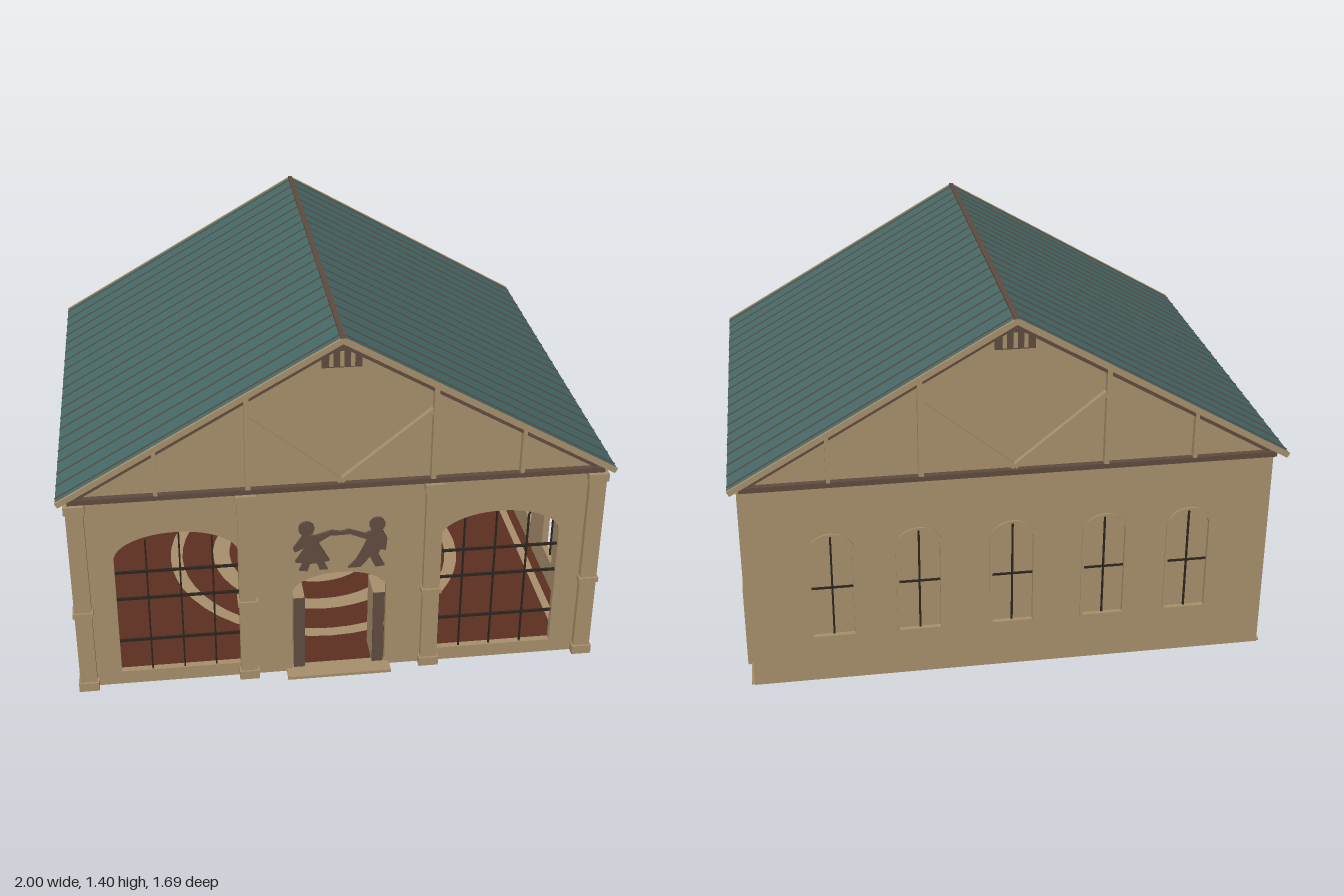
import * as THREE from 'three';

const mat = (name, color) => new THREE.MeshStandardMaterial({ name, color });

export function createModel() {
  const root = new THREE.Group();
  root.name = 'hall';
  const tan = mat('tan wall', 0xa8906c);
  const teal = mat('teal roof', 0x466a69);
  const brown = mat('brown timber', 0x5f4c40);
  const dark = mat('dark bars', 0x2c2520);
  const red = mat('red brown floor', 0x5c2f20);

  const add = (name, geo, material, x = 0, y = 0, z = 0, parent = root) => {
    const m = new THREE.Mesh(geo, material);
    m.name = name;
    m.position.set(x, y, z);
    parent.add(m);
    return m;
  };
  const box = (name, material, w, h, d, x, y, z, parent) =>
    add(name, new THREE.BoxGeometry(w, h, d), material, x, y, z, parent);
  // straight timber between two points of a vertical plane
  const beam = (name, material, x1, y1, x2, y2, width, z, depth, parent) => {
    const m = box(name, material, Math.hypot(x2 - x1, y2 - y1), width, depth, (x1 + x2) / 2, (y1 + y2) / 2, z, parent);
    m.rotation.z = Math.atan2(y2 - y1, x2 - x1);
    return m;
  };
  const poly = (pts) => new THREE.Shape(pts.map((p) => new THREE.Vector2(p[0], p[1])));
  // arched opening: centre, half width, sill, spring line, rise
  const arch = (cx, r, y0, spring, rise, Type = THREE.Path) => {
    const p = new Type();
    p.moveTo(cx - r, y0);
    p.lineTo(cx + r, y0);
    p.lineTo(cx + r, spring);
    p.absellipse(cx, spring, r, rise, 0, Math.PI, false);
    p.lineTo(cx - r, y0);
    return p;
  };
  const extrude = (shape, depth) => new THREE.ExtrudeGeometry(shape, { depth, bevelEnabled: false, curveSegments: 14 });

  const gable = [[-0.955, 0], [0.955, 0], [0.955, 0.822], [0, 1.378], [-0.955, 0.822]];

  // front wall with two wide windows and a doorway
  const front = poly(gable);
  front.holes.push(arch(-0.592, 0.223, 0.055, 0.55, 0.105), arch(0.592, 0.223, 0.055, 0.55, 0.105),
    arch(0, 0.175, 0.012, 0.355, 0.08));
  add('frontWall', extrude(front, 0.025), tan, 0, 0, 0.765);

  // back wall with five glazed-in arches
  const backXs = [-0.655, -0.34, 0, 0.34, 0.655];
  const back = poly(gable);
  backXs.forEach((x) => back.holes.push(arch(x, 0.075, 0.19, 0.535, 0.065)));
  add('backWall', extrude(back, 0.025), tan, 0, 0, -0.805);
  backXs.forEach((x) => {
    const frame = arch(x, 0.085, 0.18, 0.535, 0.075, THREE.Shape);
    frame.holes.push(arch(x, 0.075, 0.19, 0.535, 0.065));
    add('backWindowFrame', extrude(frame, 0.009), tan, 0, 0, -0.812);
    add('backWindowPane', extrude(arch(x, 0.078, 0.185, 0.535, 0.067, THREE.Shape), 0.006), tan, 0, 0, -0.794);
    box('backWindowMullion', dark, 0.007, 0.41, 0.006, x, 0.395, -0.797);
    box('backWindowRail', dark, 0.15, 0.007, 0.006, x, 0.385, -0.797);
  });

  // side walls, open arched windows and pilasters in front of them
  const sideZs = [-0.64, -0.32, 0, 0.32, 0.64];
  const side = poly([[-0.79, 0], [0.79, 0], [0.79, 0.822], [-0.79, 0.822]]);
  sideZs.forEach((z) => side.holes.push(arch(z, 0.072, 0.12, 0.52, 0.065)));
  const sideGeo = extrude(side, 0.025);
  for (const s of [-1, 1]) {
    const wall = add('sideWall', sideGeo, tan, s * 0.93, 0, -0.005);
    wall.rotation.y = s * Math.PI / 2;
    sideZs.forEach((z) => {
      box('sidePilaster', tan, 0.022, 0.735, 0.05, s * 0.964, 0.3675, z - 0.005);
      box('pilasterFoot', tan, 0.028, 0.33, 0.049, s * 0.964, 0.166, z - 0.005);
      box('sideWindowRail', dark, 0.006, 0.006, 0.145, s * 0.945, 0.37, z - 0.005);
      box('sideWindowMullion', dark, 0.006, 0.46, 0.008, s * 0.945, 0.35, z - 0.005);
    });
    box('eaveTrim', brown, 0.02, 0.014, 1.6, s * 0.962, 0.812, -0.005);
  }

  // front columns with base, band and capital
  for (const x of [-0.938, -0.34, 0.34, 0.938]) {
    box('columnShaft', tan, 0.062, 0.8, 0.045, x, 0.4, 0.792);
    for (const [y, h] of [[0.018, 0.036], [0.34, 0.02], [0.785, 0.03]])
      box('columnMoulding', tan, 0.074, h, 0.06, x, y, 0.792);
  }

  // front window bars
  for (const s of [-1, 1]) {
    for (const y of [0.19, 0.375, 0.49]) box('windowRail', dark, 0.445, 0.009, 0.008, s * 0.592, y, 0.78);
    for (const x of [0.462, 0.58, 0.7]) box('windowMullion', dark, 0.006, x === 0.58 ? 0.598 : 0.57, 0.008, s * x, x === 0.58 ? 0.354 : 0.34, 0.78);
    // door leaf swung inwards
    box('doorLeaf', tan, 0.042, 0.313, 0.12, s * 0.149, 0.168, 0.72);
    box('doorEdge', brown, 0.042, 0.313, 0.006, s * 0.149, 0.168, 0.783);
  }
  box('doorStep', tan, 0.39, 0.012, 0.085, -0.003, 0.006, 0.8025);

  // floor with pale rings and border
  box('floorSlab', tan, 1.93, 0.008, 1.59, 0, 0.004, -0.005);
  box('floor', red, 1.86, 0.004, 1.54, 0, 0.01, -0.005);
  for (const [a, b] of [[0.17, 0.24], [0.36, 0.43], [0.56, 0.61]]) {
    const ring = add('floorRing', new THREE.RingGeometry(a, b, 48), tan, 0, 0.0135, 0);
    ring.rotation.x = -Math.PI / 2;
  }
  for (const s of [-1, 1]) box('floorBorder', tan, 0.03, 0.003, 1.5, s * 0.88, 0.0125, -0.005);

  // roof slopes with standing seams and rake boards
  const pitch = Math.atan(0.575), len = 0.998 / Math.cos(pitch);
  for (const s of [-1, 1]) {
    const slope = new THREE.Group();
    slope.name = 'roofSlope';
    slope.position.set(s * 0.497, 1.102, -0.01);
    slope.rotation.z = -s * pitch;
    root.add(slope);
    box('roofPanel', [tan, tan, teal, tan, tan, tan], len, 0.014, 1.66, 0, 0, 0, slope);
    for (let i = 0; i < 20; i++) box('roofSeam', brown, len, 0.004, 0.005, 0, 0.008, 0.798 - i * 0.084, slope);
    for (const e of [-1, 1]) box('rakeBoard', tan, len, 0.02, 0.01, 0, -0.001, e * 0.832, slope);
  }
  box('ridgeCap', brown, 0.018, 0.01, 1.67, 0, 1.393, -0.01);

  // gable trusses and louvred vents, front and back
  for (const f of [1, -1]) {
    const truss = new THREE.Group();
    truss.name = f > 0 ? 'frontTruss' : 'backTruss';
    truss.position.z = f > 0 ? 0.79 : -0.805;
    truss.rotation.y = f > 0 ? 0 : Math.PI;
    root.add(truss);
    box('bottomChord', brown, 1.92, 0.02, 0.024, 0, 0.813, 0.01, truss);
    for (const s of [-1, 1]) {
      beam('rafter', brown, s * 0.93, 0.833, 0, 1.368, 0.022, 0.01, 0.024, truss);
      beam('post', tan, s * 0.33, 0.823, s * 0.33, 1.185, 0.018, 0.013, 0.026, truss);
      beam('post', tan, s * 0.653, 0.823, s * 0.653, 1.0, 0.014, 0.013, 0.026, truss);
      beam('brace', tan, s * 0.325, 1.095, 0, 0.832, 0.018, 0.01, 0.02, truss);
    }
    add('ventPanel', extrude(poly([[-0.07, 1.275], [0.07, 1.275], [0.07, 1.325], [0, 1.365], [-0.07, 1.325]]), 0.008), brown, 0, 0, 0, truss);
    for (let i = -1; i <= 1; i++) box('ventSlat', tan, 0.014, 0.055, 0.008, i * 0.037, 1.308, 0.009, truss);
  }

  // cut-out of two dancing children over the door
  const cutout = new THREE.Group();
  cutout.name = 'dancingChildren';
  cutout.position.z = 0.789;
  root.add(cutout);
  const heads = [[-0.123, 0.636], [0.135, 0.636]];
  heads.forEach(([x, y]) => {
    const h = add('head', new THREE.CylinderGeometry(0.029, 0.029, 0.012, 14), brown, x, y, 0.006, cutout);
    h.rotation.x = Math.PI / 2;
  });
  const girl = [[-0.135, 0.61], [-0.09, 0.605], [-0.03, 0.622], [0, 0.615], [0, 0.602], [-0.035, 0.604], [-0.08, 0.575],
    [-0.038, 0.495], [-0.06, 0.49], [-0.045, 0.458], [-0.075, 0.458], [-0.085, 0.487], [-0.11, 0.487], [-0.12, 0.455],
    [-0.15, 0.46], [-0.135, 0.49], [-0.165, 0.497], [-0.125, 0.56], [-0.165, 0.54], [-0.172, 0.555]];
  const boy = [[0, 0.615], [0.03, 0.622], [0.09, 0.6], [0.12, 0.612], [0.155, 0.61], [0.172, 0.575], [0.168, 0.525], [0.148, 0.53],
    [0.14, 0.51], [0.165, 0.458], [0.13, 0.455], [0.11, 0.5], [0.075, 0.458], [0.03, 0.458], [0.06, 0.49],
    [0.085, 0.54], [0.1, 0.575], [0.035, 0.604], [0, 0.602]];
  add('girlBody', extrude(poly(girl), 0.012), brown, 0, 0, 0, cutout);
  add('boyBody', extrude(poly(boy), 0.012), brown, 0, 0, 0, cutout);

  return root;
}
